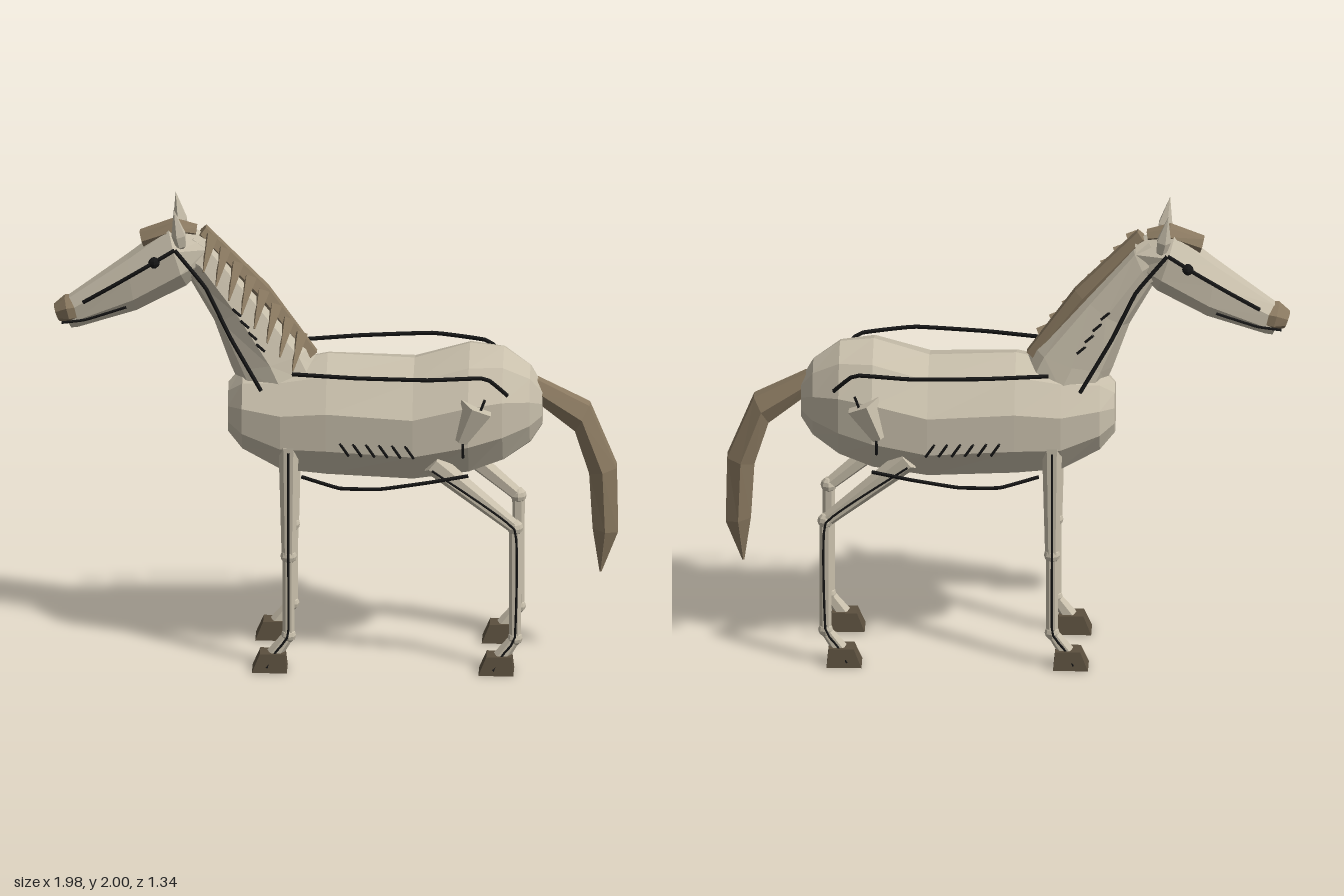
import * as THREE from 'three';

const mat = (name, color, flatShading = true) => {
  const m = new THREE.MeshStandardMaterial({ color, flatShading });
  m.name = name;
  return m;
};
const V = (x, y, z) => new THREE.Vector3(x, y, z);

export function createModel() {
  const coat = mat('coat', 0xc8bfab);
  const hair = mat('hair', 0x8b7a61);
  const horn = mat('hoof', 0x5c503f);
  const ink = mat('ink', 0x151515);

  const horse = new THREE.Group();
  horse.name = 'horse';

  const add = (name, geometry, material) => {
    const mesh = new THREE.Mesh(geometry, material);
    mesh.name = name;
    horse.add(mesh);
    return mesh;
  };

  // Skin over elliptical rings, each [topZ, topY, bottomZ, bottomY, halfWidth]
  const loft = (name, rings, sides, material, phase = 0) => {
    const pts = rings.map(([tz, ty, bz, by, w]) =>
      Array.from({ length: sides }, (_, j) => {
        const a = ((j + phase) / sides) * Math.PI * 2, s = Math.sin(a) / 2;
        return V(w * Math.cos(a), (ty + by) / 2 + (ty - by) * s, (tz + bz) / 2 + (tz - bz) * s);
      }));
    const tris = [];
    const n = rings.length - 1;
    for (let j = 0; j < sides; j++) {
      const k = (j + 1) % sides;
      for (let i = 0; i < n; i++) {
        const a = pts[i][j], b = pts[i][k], c = pts[i + 1][k], d = pts[i + 1][j];
        tris.push(a, b, d, b, c, d);
      }
      if (j > 0 && j < sides - 1) {
        tris.push(pts[0][0], pts[0][k], pts[0][j], pts[n][0], pts[n][j], pts[n][k]);
      }
    }
    const g = new THREE.BufferGeometry().setFromPoints(tris);
    g.computeVertexNormals();
    return add(name, g, material);
  };

  // Tapered rod from p to q
  const rod = (name, p, q, r0, r1, material, sides = 6) => {
    const d = q.clone().sub(p);
    const mesh = add(name, new THREE.CylinderGeometry(r1, r0, d.length(), sides), material);
    mesh.position.copy(p).add(q).multiplyScalar(0.5);
    mesh.quaternion.setFromUnitVectors(V(0, 1, 0), d.normalize());
    return mesh;
  };
  const ball = (name, p, r, material) =>
    add(name, new THREE.SphereGeometry(r, 8, 6), material).position.copy(p);

  // Ink line through points [x, y, z], mirrored by side
  const line = (name, side, points, r = 0.008) => {
    const curve = new THREE.CatmullRomCurve3(
      points.map(([x, y, z]) => V(x * side, y, z)), false, 'catmullrom', 0.15);
    add(name, new THREE.TubeGeometry(curve, points.length * 5, r, 5), ink);
  };

  // Trunk, neck and head
  const trunk = [
    [-0.86, 1.2, 1.03, 0.07], [-0.81, 1.29, 0.95, 0.14], [-0.7, 1.37, 0.87, 0.22],
    [-0.56, 1.385, 0.82, 0.27], [-0.33, 1.315, 0.79, 0.275], [0.03, 1.33, 0.8, 0.25],
    [0.22, 1.29, 0.82, 0.23], [0.38, 1.265, 0.91, 0.185], [0.44, 1.2, 0.98, 0.1],
  ];
  loft('body', trunk.map(([z, t, b, w]) => [z, t, z, b, w]), 10, coat, 0.5);
  loft('neck', [
    [0.04, 1.24, 0.4, 1.2, 0.14], [0.1, 1.36, 0.43, 1.27, 0.125], [0.31, 1.6, 0.5, 1.47, 0.1],
    [0.51, 1.83, 0.6, 1.65, 0.09], [0.57, 1.87, 0.68, 1.7, 0.075],
  ], 8, coat);
  loft('head', [
    [0.52, 1.85, 0.55, 1.7, 0.07], [0.69, 1.89, 0.61, 1.63, 0.125],
    [0.86, 1.755, 0.82, 1.515, 0.105], [1.1, 1.575, 1.06, 1.435, 0.06], [1.13, 1.55, 1.09, 1.43, 0.05],
  ], 8, coat, 0.5);
  loft('muzzle', [
    [1.07, 1.575, 1.05, 1.46, 0.06], [1.12, 1.57, 1.09, 1.45, 0.066],
    [1.165, 1.53, 1.14, 1.46, 0.04],
  ], 8, hair, 0.5);
  loft('forelock', [
    [0.57, 1.89, 0.58, 1.84, 0.035], [0.67, 1.915, 0.65, 1.85, 0.055], [0.81, 1.865, 0.79, 1.79, 0.04],
  ], 6, hair);

  // Tail, tip to dock
  loft('tail', [
    [-1.105, 0.38, -1.095, 0.38, 0.008], [-1.18, 0.56, -1.06, 0.58, 0.055],
    [-1.175, 0.85, -1.045, 0.82, 0.065], [-1.06, 1.13, -0.99, 1.0, 0.06], [-0.84, 1.24, -0.83, 1.13, 0.045],
  ], 6, hair);

  // Mane: a crest with locks falling to the left
  loft('maneCrest', [
    [0.07, 1.34, 0.13, 1.3, 0.035], [0.27, 1.625, 0.34, 1.56, 0.045], [0.53, 1.89, 0.58, 1.83, 0.035],
  ], 6, hair);
  for (let i = 0; i < 8; i++) {
    const t = i / 7;
    const y = 1.42 + 0.43 * t, z = 0.14 + 0.37 * t;
    rod('maneLock', V(0.02, y, z), V(0.14 - 0.01 * t, y - 0.12, z + 0.03), 0.032, 0.004, hair, 4);
  }

  for (const s of [1, -1]) {
    const P = (x, y, z) => V(x * s, y, z);

    // Ears and eyes
    const ear = add('ear', new THREE.LatheGeometry(
      [[0, 0], [0.024, 0.02], [0.032, 0.07], [0, 0.19]].map(([x, y]) => new THREE.Vector2(x, y)), 5), coat);
    ear.position.copy(P(0.085, 1.81, 0.63));
    ear.rotation.set(0.18, 0, -0.11 * s);
    ball('eye', P(0.12, 1.765, 0.745), 0.024, ink);

    // Legs: top joint, middle joint, fetlock depth and upper radius
    const legs = [
      ['front', P(0.188, 0.99, 0.185), P(0.188, 0.5, 0.185), 0.042],
      ['hind', P(0.205, 0.93, -0.41), P(0.188, 0.64, -0.753), 0.05],
    ];
    for (const [end, top, joint, r] of legs) {
      const fetlock = V(joint.x, 0.15, joint.z);
      rod(end + 'UpperLeg', top, joint, r, 0.029, coat);
      ball(end + 'LegJoint', joint, 0.034, coat);
      rod(end + 'LowerLeg', joint, fetlock, 0.026, 0.025, coat);
      ball(end + 'Fetlock', fetlock, 0.031, coat);
      rod(end + 'Pastern', fetlock, V(joint.x, 0.065, joint.z + 0.06), 0.024, 0.034, coat);

      // Hoof narrows upward and leans back
      const hoof = new THREE.BoxGeometry(0.11, 0.078, 0.145);
      const p = hoof.attributes.position;
      for (let i = 0; i < p.count; i++) {
        if (p.getY(i) > 0) p.setXYZ(i, p.getX(i) * 0.75, p.getY(i), p.getZ(i) * 0.72 - 0.012);
      }
      hoof.computeVertexNormals();
      add(end + 'Hoof', hoof, horn).position.set(joint.x, 0.039, joint.z + 0.078);

      // Line down the outside of the leg
      const o = 0.027;
      line(end + 'LegLine', s, [
        [Math.abs(top.x) + r - 0.004, top.y - 0.02, top.z], [0.188 + o + 0.005, joint.y, joint.z],
        [0.188 + o, 0.16, joint.z], [0.188 + o, 0.08, joint.z + 0.055], [0.188 + 0.05, 0.02, joint.z + 0.09],
      ], 0.005);
    }

    // Flank muscle
    rod('flank', P(0.25, 1.04, -0.53), P(0.24, 1.19, -0.6), 0.03, 0.075, coat, 5);

    // Contour lines
    line('backLine', s, [[0.2, 1.31, 0.17], [0.25, 1.315, -0.1], [0.275, 1.32, -0.4],
      [0.22, 1.31, -0.63], [0.18, 1.22, -0.72]], 0.009);
    line('bellyLine', s, [[0.21, 0.86, 0.13], [0.26, 0.83, -0.03], [0.275, 0.835, -0.2],
      [0.27, 0.865, -0.4], [0.24, 0.885, -0.56]], 0.008);
    line('neckLine', s, [[0.16, 1.22, 0.3], [0.14, 1.45, 0.43], [0.13, 1.66, 0.53], [0.113, 1.82, 0.66]], 0.009);
    line('cheekLine', s, [[0.113, 1.82, 0.66], [0.13, 1.745, 0.785], [0.11, 1.66, 0.91], [0.077, 1.57, 1.04]], 0.009);
    line('mouthLine', s, [[0.055, 1.47, 1.13], [0.07, 1.49, 1.03], [0.1, 1.56, 0.86]], 0.006);

    // Rib, neck and hip ticks
    for (let i = 0; i < 6; i++) {
      const z = -0.03 - i * 0.054, x = 0.268 + i * 0.004;
      line('ribTick', s, [[x, 1.03, z], [x - 0.003, 0.975, z - 0.036]], 0.006);
    }
    for (let i = 0; i < 4; i++) {
      const y = 1.56 - i * 0.05, z = 0.42 - i * 0.033;
      line('neckTick', s, [[0.108 + i * 0.004, y, z], [0.112 + i * 0.004, y - 0.03, z - 0.035]], 0.006);
    }
    line('hipTick', s, [[0.26, 1.23, -0.63], [0.27, 1.15, -0.6]], 0.006);
    line('hipTick', s, [[0.275, 1.04, -0.54], [0.255, 0.97, -0.54]], 0.006);
  }

  // Turn the horse diagonally
  horse.rotation.y = THREE.MathUtils.degToRad(-56.8);
  horse.position.set(-0.01, 0, -0.015);
  const model = new THREE.Group();
  model.name = 'model';
  model.add(horse);
  return model;
}
